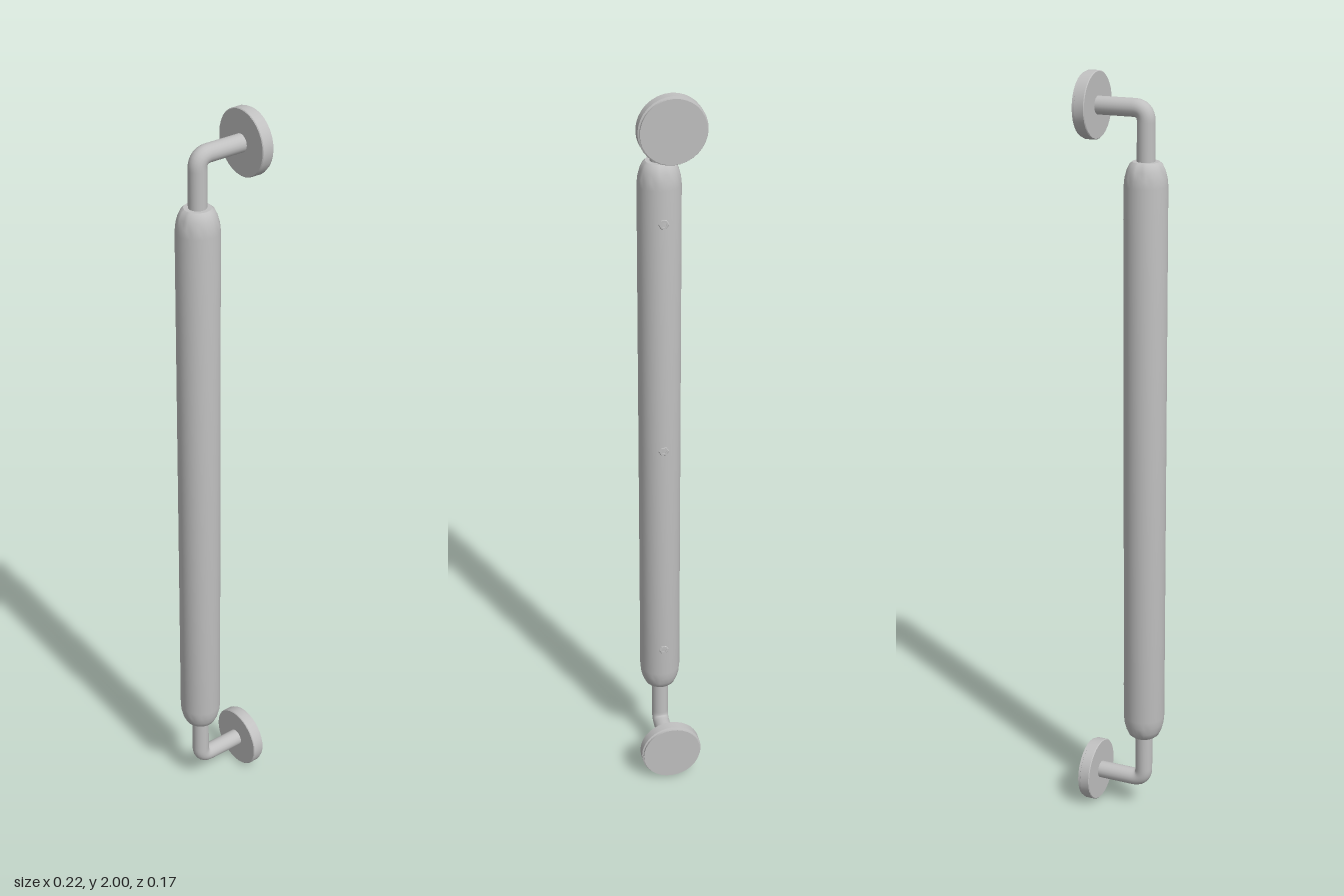
import * as THREE from 'three';
import { toCreasedNormals } from 'three/addons/utils/BufferGeometryUtils.js';

const GRIP_X = -0.054, GRIP_R = 0.055, MID_Y = 1.0, ARM = 0.915;

const lathe = (points, sides) => toCreasedNormals(
  new THREE.LatheGeometry(points.map(([r, y]) => new THREE.Vector2(r, y)), sides), 0.6);

export function createModel() {
  const group = new THREE.Group();
  const metal = new THREE.MeshStandardMaterial({ color: 0xc0c0c0 });
  metal.name = 'brushed metal';

  const add = (name, geometry, x, y, z, parent = group) => {
    const mesh = new THREE.Mesh(geometry, metal);
    mesh.name = name;
    mesh.position.set(x, y, z);
    parent.add(mesh);
    return mesh;
  };

  // Thick grip with rounded shoulders
  const half = 0.783;
  const shoulder = [[0.0, half], [0.034, half], [0.041, half - 0.006], [0.048, half - 0.021],
    [0.053, half - 0.04], [GRIP_R, half - 0.06]];
  const lower = shoulder.map(([r, y]) => [r, -y]);
  add('grip', lathe([...lower, ...shoulder.reverse()], 32), GRIP_X, MID_Y + 0.003, 0);

  // Bent rod from the grip to the wall flange
  const rodPath = new THREE.CurvePath();
  const bend = 0.032;
  const v = (x, y) => new THREE.Vector3(x, y, 0);
  rodPath.add(new THREE.LineCurve3(v(GRIP_X, 0.76), v(GRIP_X, ARM - bend)));
  rodPath.add(new THREE.QuadraticBezierCurve3(v(GRIP_X, ARM - bend), v(GRIP_X, ARM), v(GRIP_X + bend, ARM)));
  rodPath.add(new THREE.LineCurve3(v(GRIP_X + bend, ARM), v(0.08, ARM)));
  const rodGeometry = new THREE.TubeGeometry(rodPath, 48, 0.023, 20);

  // Round flange with a stepped mounting face
  const flangeGeometry = lathe([[0, 0], [0.082, 0], [0.084, 0.002], [0.084, 0.026],
    [0.08, 0.028], [0.08, 0.034], [0, 0.034]], 32);

  for (const end of ['top', 'bottom']) {
    const bracket = new THREE.Group();
    bracket.name = end + 'Bracket';
    add('bentRod', rodGeometry, 0, 0, 0, bracket);
    add('flange', flangeGeometry, 0.074, ARM, 0, bracket).rotation.z = -Math.PI / 2;
    bracket.position.y = MID_Y;
    if (end === 'bottom') bracket.rotation.x = Math.PI;
    group.add(bracket);
  }

  // Small set screws with hexagonal sockets on the wall side of the grip
  const screwGeometry = lathe([[0, -0.006], [0.007, -0.006], [0.007, 0.001],
    [0.012, 0.001], [0.014, -0.001], [0.014, -0.008]].reverse(), 6);
  for (const y of [0.365, 1.003, 1.64]) {
    add('setScrew', screwGeometry, GRIP_X + GRIP_R, y, 0).rotation.z = -Math.PI / 2;
  }
  return group;
}
